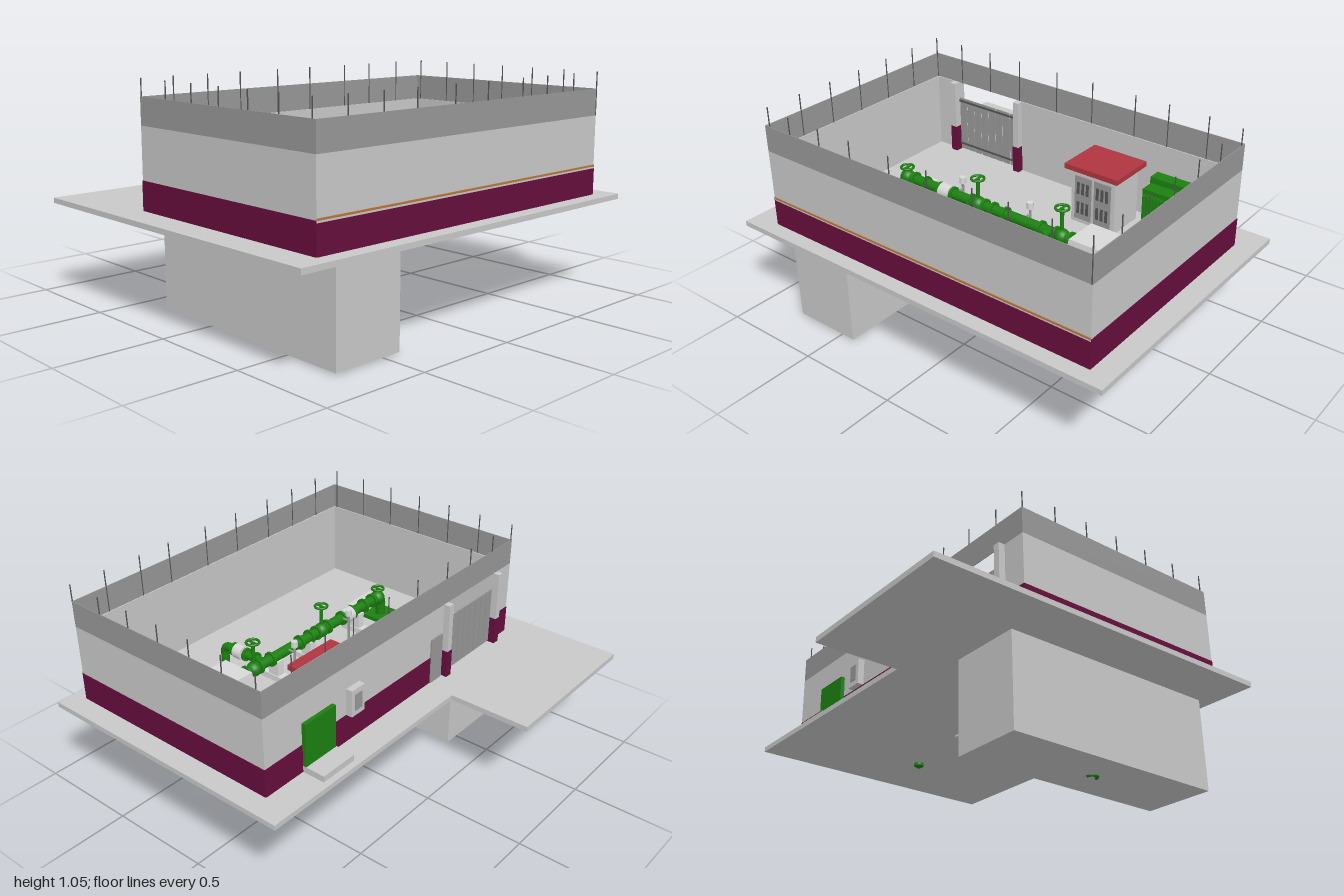
import * as THREE from 'three';

const mat = (name, color) => {
  const m = new THREE.MeshStandardMaterial({ color });
  m.name = name;
  return m;
};

export function createModel() {
  const root = new THREE.Group();
  const grey = mat('wall grey', 0xc8c8c8);
  const pale = mat('pale concrete', 0xd8d8d8);
  const mesh = mat('fence grey', 0x979797);
  const dark = mat('dark steel', 0x555555);
  const maroon = mat('maroon', 0x660e3c);
  const green = mat('pipe green', 0x1c8010);
  const red = mat('roof red', 0xb03540);
  const orange = mat('orange', 0xb8763a);

  const add = (name, geo, m, x = 0, y = 0, z = 0) => {
    const o = new THREE.Mesh(geo, m);
    o.name = name;
    o.position.set(x, y, z);
    root.add(o);
    return o;
  };
  // box given by its min and max along each axis
  const box = (name, m, x0, x1, y0, y1, z0, z1) =>
    add(name, new THREE.BoxGeometry(x1 - x0, y1 - y0, z1 - z0), m, (x0 + x1) / 2, (y0 + y1) / 2, (z0 + z1) / 2);
  // cylinder centred at a point, lying along the chosen axis
  const rod = (name, m, r, len, axis, x, y, z) => {
    const g = new THREE.CylinderGeometry(r, r, len, 16);
    if (axis === 'x') g.rotateZ(Math.PI / 2);
    if (axis === 'z') g.rotateX(Math.PI / 2);
    return add(name, g, m, x, y, z);
  };

  // L-shaped slab and the pit below it
  const outline = [[-0.475, 1], [0.87, 1], [0.87, -1], [-0.875, -1], [-0.875, -0.19], [-0.475, -0.19]];
  const slab = new THREE.ExtrudeGeometry(
    new THREE.Shape(outline.map(([x, y]) => new THREE.Vector2(x, y))), { depth: 0.025, bevelEnabled: false });
  slab.rotateX(-Math.PI / 2);
  add('slab', slab, grey, 0, 0.445, 0);
  box('pit', grey, -0.32, 0.795, 0.008, 0.445, 0.42, 0.765);

  // Perimeter: grey wall, maroon skirt outside, fence above
  const L = -0.33, R = 0.795, B = -0.895, F = 0.86, floor = 0.47, top = 0.845;
  const t = 0.008, s = 0.003;
  box('frontWall', grey, L, R, floor, top, F - t, F);
  box('backWall', grey, L, R, floor, top, B, B + t);
  box('leftWall', grey, R - t, R, floor, top, B, F);
  box('frontSkirt', maroon, L, R, floor, 0.605, F, F + s);
  box('backSkirt', maroon, L, R, floor, 0.605, B - s, B);
  box('leftSkirt', maroon, R, R + s, floor, 0.595, B, F);
  box('leftStripe', orange, R, R + s, 0.604, 0.613, B, F);
  for (const [z0, z1] of [[B, 0.32], [0.73, F]]) {
    box('rightWall', grey, L, L + t, floor, top, z0, z1);
    box('rightSkirt', maroon, L - s, L, floor, 0.605, z0, z1);
  }
  const f = 0.003;
  box('frontFence', mesh, L, R, top, 0.97, F - f, F);
  box('backFence', mesh, L, R, top, 0.97, B, B + f);
  box('leftFence', mesh, R - f, R, top, 0.97, B, F);
  box('rightFence', mesh, L, L + f, top, 0.97, B, F);

  // Fence posts
  const post = (x, z) => box('fencePost', dark, x - 0.002, x + 0.002, top, 1.05, z - 0.002, z + 0.002);
  for (let i = 0; i < 7; i++) {
    post(-0.325 + i * 0.183, F - 0.003);
    post(-0.303 + i * 0.183, B + 0.003);
  }
  for (const z of [0.7, 0.515, 0.33, 0.105, -0.1, -0.335, -0.51, -0.71]) {
    post(R - 0.003, z);
    post(L + 0.003, z - 0.01);
  }

  // Gate pillars, gate and side door
  for (const z of [0.32, 0.73]) {
    box('gatePillar', grey, -0.362, -0.292, 0.605, top, z - 0.016, z + 0.016);
    box('gatePillarBase', maroon, -0.364, -0.29, floor, 0.605, z - 0.018, z + 0.018);
  }
  for (let i = 0; i < 8; i++) {
    const z = 0.34 + i * 0.047;
    box('gatePanel', mesh, L, L + 0.005, 0.475, 0.76, z, z + 0.042);
  }
  for (const y of [0.5, 0.74]) box('gateRail', dark, L + 0.005, L + 0.009, y, y + 0.01, 0.335, 0.715);
  box('sideDoor', mesh, L - 0.008, L, floor, 0.7, 0.21, 0.295);

  // Kiosk with a flat red roof and grilles
  box('kiosk', grey, -0.26, -0.07, floor, 0.74, -0.42, -0.185);
  box('kioskRoof', red, -0.285, -0.045, 0.74, 0.765, -0.445, -0.16);
  for (const z of [-0.355, -0.25]) {
    box('kioskDoor', mesh, -0.07, -0.066, 0.49, 0.71, z - 0.045, z + 0.045);
    for (const y of [0.55, 0.65])
      for (let i = -1; i < 2; i++)
        box('kioskGrille', dark, -0.066, -0.063, y - 0.03, y + 0.03, z + i * 0.025 - 0.007, z + i * 0.025 + 0.007);
  }

  // Transformer with cooling fins on a pad
  box('transformerPad', grey, -0.445, -0.11, floor, 0.5, -0.675, -0.482);
  box('transformer', green, -0.35, -0.26, 0.5, 0.71, -0.675, -0.485);
  box('transformerTank', green, -0.26, -0.19, 0.5, 0.68, -0.668, -0.49);
  for (let i = 0; i < 9; i++)
    box('coolingFin', green, -0.19, -0.165, 0.52, 0.66, -0.65 + i * 0.017, -0.642 + i * 0.017);

  // Meter box on the right wall and control cabinet at the back
  box('meterBox', grey, -0.362, L, 0.605, 0.735, -0.395, -0.31);
  box('meterDoor', mesh, -0.365, -0.362, 0.63, 0.71, -0.375, -0.33);
  box('controlCabinet', grey, -0.12, 0.02, 0.57, 0.73, -0.89, -0.825);
  rod('cabinetPost', mesh, 0.008, 0.1, 'y', -0.05, 0.52, -0.857);
  for (const x of [-0.085, -0.015]) {
    box('cabinetDoor', mesh, x - 0.028, x + 0.028, 0.59, 0.715, -0.825, -0.822);
    for (const y of [0.63, 0.68]) box('cabinetVent', dark, x - 0.015, x + 0.015, y - 0.015, y + 0.015, -0.822, -0.82);
  }

  // Main pipe, dipping through the slab at the back and into the pit at the front
  const px = 0.245, py = 0.59;
  const bentPipe = (name, r, pts) => {
    const path = new THREE.CurvePath();
    const v = pts.map(p => new THREE.Vector3(...p));
    let from = v[0];
    for (let i = 1; i < v.length - 1; i++) {
      const a = v[i].clone().add(v[i - 1].clone().sub(v[i]).setLength(0.04));
      const b = v[i].clone().add(v[i + 1].clone().sub(v[i]).setLength(0.04));
      path.add(new THREE.LineCurve3(from, a));
      path.add(new THREE.QuadraticBezierCurve3(a, v[i], b));
      from = b;
    }
    path.add(new THREE.LineCurve3(from, v[v.length - 1]));
    add(name, new THREE.TubeGeometry(path, 120, r, 16), green);
  };
  bentPipe('mainPipe', 0.025, [[px, 0.43, -0.655], [px, py, -0.655], [px, py, 0.575], [px, 0.2, 0.575]]);
  add('pipeEndCap', new THREE.ConeGeometry(0.025, 0.015, 16).rotateX(Math.PI), green, px, 0.4225, -0.655);
  const hook = add('pitOutlet', new THREE.TorusGeometry(0.025, 0.008, 8, 16, Math.PI), green, 0.265, 0.008, 0.58);
  hook.rotation.x = Math.PI / 2;
  bentPipe('branchPipe', 0.02, [[px, py, -0.29], [0.505, py, -0.29], [0.505, 0.47, -0.29]]);
  for (const z of [-0.41, -0.33, -0.25, -0.05, 0.02, 0.07, 0.15, 0.26, 0.34, 0.43, 0.5])
    rod('flange', green, 0.036, 0.012, 'z', px, py, z);
  for (const x of [0.3, 0.36, 0.44]) rod('branchFlange', green, 0.032, 0.012, 'x', x, py, -0.29);
  rod('branchValve', pale, 0.036, 0.05, 'x', 0.4, py, -0.29);
  rod('meterBody', pale, 0.038, 0.06, 'z', px, py, 0.3);

  // Valves with stems and hand wheels
  for (const [z, y] of [[-0.36, 0.73], [0.11, 0.72], [0.6, 0.64]]) {
    add('valveBody', new THREE.SphereGeometry(0.036, 16, 12), green, px, py, Math.min(z, 0.55));
    rod('valveStem', green, 0.009, y - py, 'y', px, (y + py) / 2, Math.min(z, 0.55));
    const wheel = add('handWheel', new THREE.TorusGeometry(0.03, 0.006, 8, 20), green, px, y, Math.min(z, 0.55));
    wheel.rotation.x = Math.PI / 2;
    rod('wheelSpoke', green, 0.005, 0.06, 'x', px, y, Math.min(z, 0.55));
  }

  // Pipe supports, showing slightly below the slab
  for (const z of [-0.215, 0.015, 0.38]) {
    box('supportFoot', pale, 0.165, 0.325, 0.437, 0.5, z - 0.025, z + 0.025);
    box('supportSaddle', pale, 0.215, 0.275, 0.5, 0.575, z - 0.02, z + 0.02);
  }
  // Sensors reaching through the slab
  for (const [z, y] of [[0.25, 0.385], [-0.145, 0.415]]) {
    rod('sensorRod', mesh, 0.006, 0.64 - y, 'y', 0.19, (0.64 + y) / 2, z);
    rod('sensorHead', pale, 0.016, 0.03, 'y', 0.19, 0.645, z);
    rod('sensorArm', mesh, 0.005, 0.05, 'x', 0.21, 0.6, z);
  }

  // Tapered concrete anchor over the pipe
  const anchor = new THREE.CylinderGeometry(0.79 * Math.SQRT1_2, Math.SQRT1_2, 0.18, 4).toNonIndexed();
  anchor.rotateY(Math.PI / 4).scale(0.21, 1, 0.19);
  anchor.computeVertexNormals();
  add('concreteAnchor', anchor, pale, 0.245, 0.56, -0.53);

  // Hatch between two kerbs above the pit
  box('hatch', green, 0.17, 0.31, floor, 0.49, 0.51, 0.65);
  for (const x of [0.125, 0.365]) box('hatchKerb', pale, x - 0.024, x + 0.024, floor, 0.53, 0.485, 0.67);

  return root;
}
